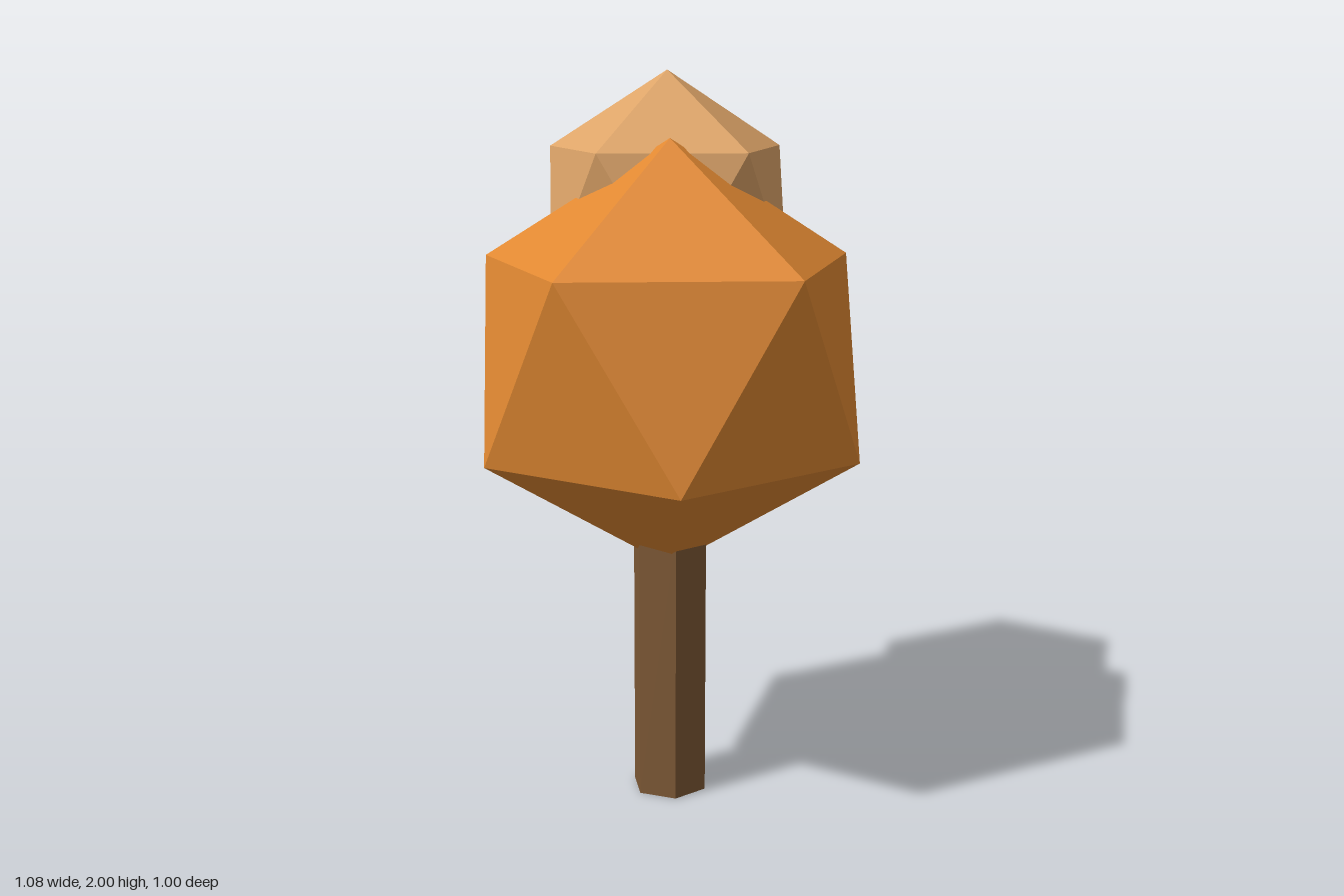
import * as THREE from 'three';

const foliageMaterial = new THREE.MeshStandardMaterial({ color: 0xe08832, flatShading: true });
foliageMaterial.name = 'orange foliage';
const paleMaterial = new THREE.MeshStandardMaterial({ color: 0xdda468, flatShading: true });
paleMaterial.name = 'pale foliage';
const barkMaterial = new THREE.MeshStandardMaterial({ color: 0x7d5835, flatShading: true });
barkMaterial.name = 'brown bark';

// Icosahedron standing on one corner, with an upper ring corner towards +x
function crown(name, radius, material, x, y, z) {
  const geometry = new THREE.IcosahedronGeometry(radius, 0);
  geometry.rotateZ(-Math.atan(2 / (1 + Math.sqrt(5))));
  const mesh = new THREE.Mesh(geometry, material);
  mesh.name = name;
  mesh.position.set(x, y, z);
  return mesh;
}

export function createModel() {
  const tree = new THREE.Group();
  tree.name = 'tree';

  // Six-sided trunk, its top hidden inside the crown
  const trunkHeight = 0.76;
  const trunk = new THREE.Mesh(
    new THREE.CylinderGeometry(0.107, 0.107, trunkHeight, 6),
    barkMaterial
  );
  trunk.name = 'trunk';
  trunk.position.set(0.014, trunkHeight / 2, 0);
  tree.add(trunk);

  // Large crown and the smaller one growing out of its back right
  tree.add(crown('mainCrown', 0.587, foliageMaterial, 0.014, 1.24, 0));
  tree.add(crown('smallCrown', 0.385, paleMaterial, -0.2, 1.615, -0.163));

  return tree;
}
